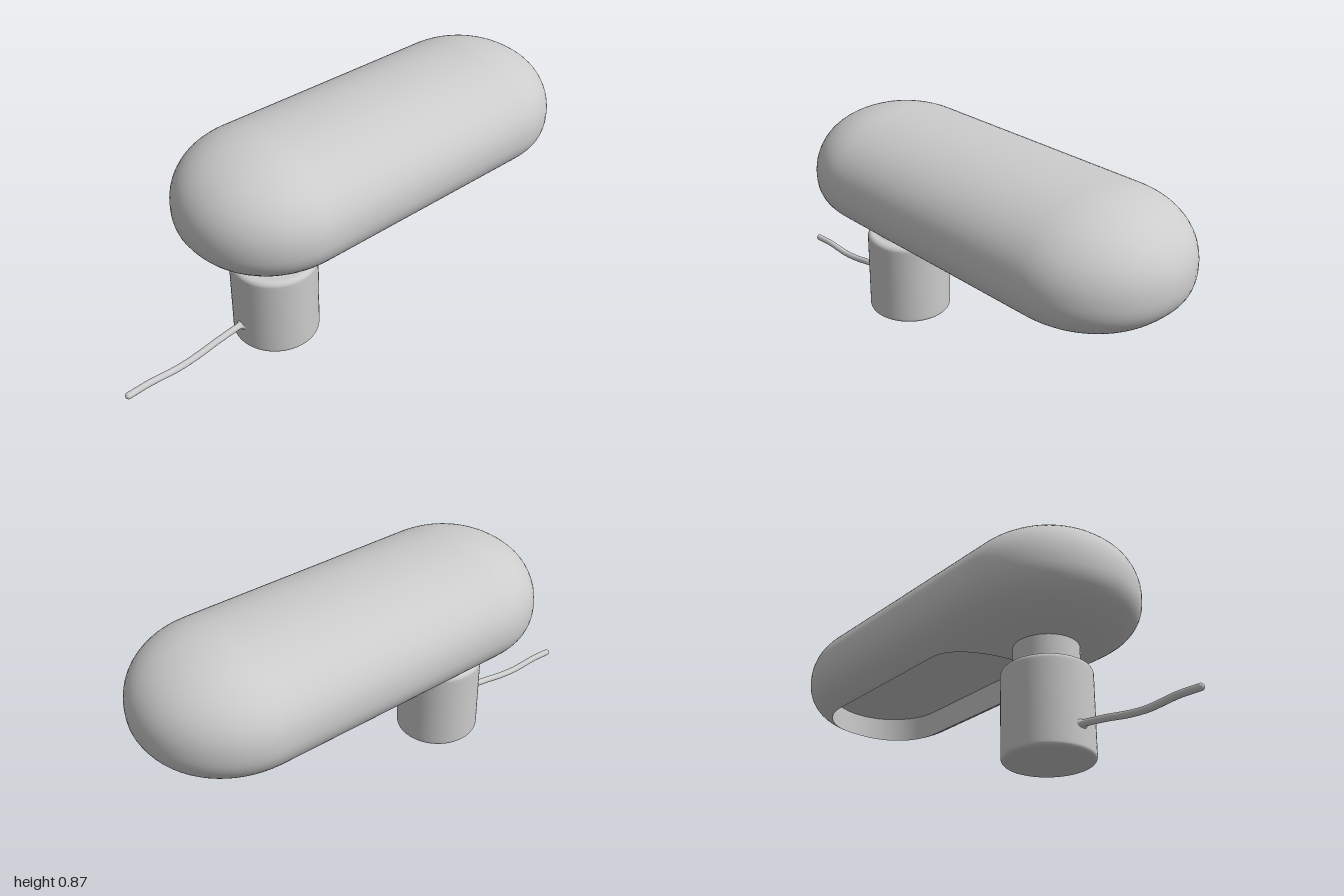
import * as THREE from 'three';
import { mergeVertices } from 'three/addons/utils/BufferGeometryUtils.js';

const MID = 0.62;            // height of the shade's widest line
const FRONT = 0.325, BACK = -0.645, R = 0.355;

// Stadium outline in plan, from +x round the front to -x and back again
function ring(front, back, r) {
  const pts = [], arc = 32, side = 16;
  for (let i = 0; i < arc; i++) {
    const a = (i / arc) * Math.PI;
    pts.push([r * Math.cos(a), front + r * Math.sin(a)]);
  }
  for (let i = 0; i < side; i++) pts.push([-r, front + (back - front) * (i / side)]);
  for (let i = 0; i < arc; i++) {
    const a = Math.PI + (i / arc) * Math.PI;
    pts.push([r * Math.cos(a), back + r * Math.sin(a)]);
  }
  for (let i = 0; i < side; i++) pts.push([r, back + (front - back) * (i / side)]);
  return pts;
}

// Height of the shade's skin above or below its widest line
const fall = (t, n) => Math.pow(Math.max(0, 1 - Math.pow(Math.min(1, Math.abs(t)), n)), 1 / n);
function skinY(x, z, up) {
  const d = z > FRONT ? (z - FRONT) / R : z < BACK ? (BACK - z) / R : 0;
  const width = R * fall(d, 2);
  const height = (up ? 0.25 : 0.19) * fall(d, up ? 2.15 : 2.35);
  const y = width < 1e-6 ? 0 : height * fall(x / width, up ? 2.1 : 2.4);
  return up ? MID + y : MID - y;
}

// Join closed rings of points into one smooth surface
function loft(rings) {
  const n = rings[0].length, index = [];
  for (let j = 0; j < rings.length - 1; j++) {
    for (let k = 0; k < n; k++) {
      const a = j * n + k, b = j * n + (k + 1) % n;
      index.push(a, b, a + n, b, b + n, a + n);
    }
  }
  const g = new THREE.BufferGeometry();
  g.setAttribute('position', new THREE.Float32BufferAttribute(rings.flat(2), 3));
  g.setIndex(index);
  const merged = mergeVertices(g, 1e-5);
  merged.computeVertexNormals();
  return merged;
}

export function createModel() {
  const model = new THREE.Group();
  model.name = 'tableLamp';
  const grey = new THREE.MeshStandardMaterial({ color: 0xcccccc });
  grey.name = 'lampGrey';
  const add = (name, geometry) => {
    const mesh = new THREE.Mesh(geometry, grey);
    mesh.name = name;
    model.add(mesh);
    return mesh;
  };

  // Shade: pill-shaped skin from the ridge, over the rim, to the opening below
  const outline = ring(FRONT, BACK, R);
  const ridge = ring(FRONT, BACK, 0);
  const opening = ring(-0.05, -0.67, 0.24);
  const blend = (p, q, t) => p.map((a, k) => [a[0] + (q[k][0] - a[0]) * t, a[1] + (q[k][1] - a[1]) * t]);
  const rings = [];
  const steps = 20;
  for (let j = 0; j <= steps; j++) {
    const t = Math.sin((j / steps) * Math.PI / 2);
    rings.push(blend(ridge, outline, t).map(([x, z]) => [x, j === steps ? MID : skinY(x, z, true), z]));
  }
  for (let j = 1; j <= steps; j++) {
    const t = 1 - Math.cos((j / steps) * Math.PI / 2);
    rings.push(blend(outline, opening, t).map(([x, z]) => [x, skinY(x, z, false), z]));
  }
  add('shade', loft(rings));

  // Recess in the underside: straight wall and flat ceiling
  const ceilingY = 0.575;
  const ceilingEdge = opening.map(([x, z]) => [x, ceilingY, z]);
  add('recessWall', loft([rings[rings.length - 1], ceilingEdge]));
  add('recessCeiling', loft([ceilingEdge, ring(-0.05, -0.67, 0).map(([x, z]) => [x, ceilingY, z])]));

  // Base and neck: one turned profile with rounded edges
  const profile = [new THREE.Vector2(0, 0)];
  const corner = (cx, cy, r, from, to) => {
    for (let i = 0; i <= 6; i++) {
      const a = from + (to - from) * (i / 6);
      profile.push(new THREE.Vector2(cx + r * Math.cos(a), cy + r * Math.sin(a)));
    }
  };
  const q = Math.PI / 2;
  profile.push(new THREE.Vector2(0.14, 0));
  corner(0.153, 0.015, 0.015, -q, 0);
  profile.push(new THREE.Vector2(0.168, 0.03), new THREE.Vector2(0.168, 0.31));
  corner(0.148, 0.325, 0.02, 0, q);
  profile.push(new THREE.Vector2(0.14, 0.345));
  corner(0.133, 0.355, 0.01, -q, -2 * q);
  profile.push(new THREE.Vector2(0.123, 0.37), new THREE.Vector2(0.123, 0.45));
  add('baseAndNeck', new THREE.LatheGeometry(profile, 64)).position.z = 0.322;

  // Cable grommet flaring out of the base
  const flare = [[0.027, 0], [0.021, 0.004], [0.016, 0.01], [0.013, 0.022]]
    .map(([r, y]) => new THREE.Vector2(r, y));
  const grommet = add('cableGrommet', new THREE.LatheGeometry(flare, 24));
  grommet.rotation.x = q;
  grommet.scale.z = 0.7;
  grommet.position.set(0, 0.092, 0.487);

  // Cable with a rounded tip
  const path = new THREE.CatmullRomCurve3(
    [[0.095, 0.475], [0.091, 0.51], [0.078, 0.6], [0.06, 0.7], [0.053, 0.78], [0.059, 0.9], [0.055, 0.987]]
      .map(([y, z]) => new THREE.Vector3(0, y, z)));
  add('cable', new THREE.TubeGeometry(path, 48, 0.013, 14));
  add('cableTip', new THREE.SphereGeometry(0.013, 14, 10)).position.set(0, 0.055, 0.987);

  return model;
}
